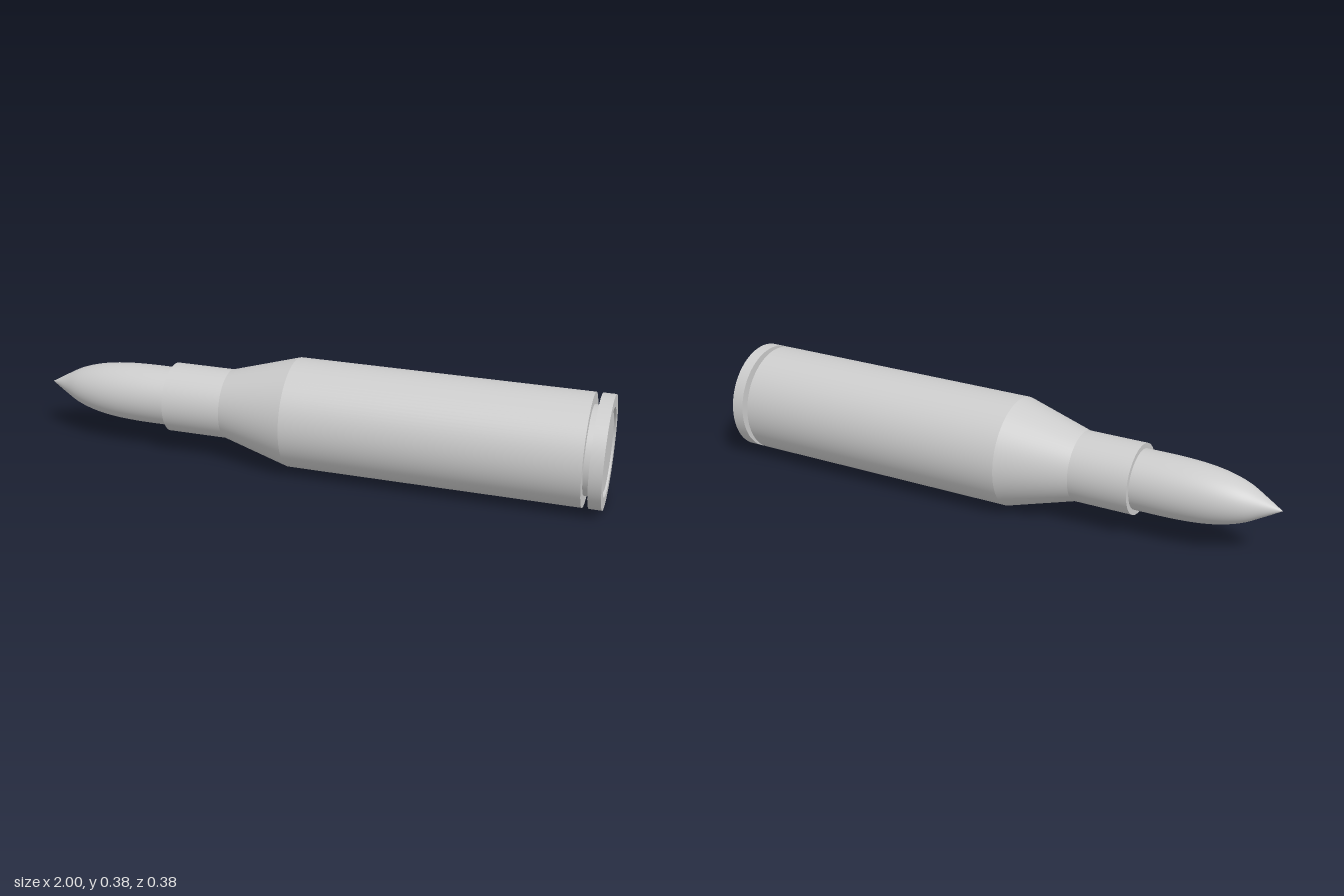
import * as THREE from 'three';
import { mergeGeometries } from 'three/addons/utils/BufferGeometryUtils.js';

const RADIUS = 0.19;
const SIDES = 96;

// Turn [x, radius] points about the long axis; smooth within one run
function turn(points) {
  const profile = points.map(([x, r]) => new THREE.Vector2(r, x));
  return new THREE.LatheGeometry(profile, SIDES).rotateZ(-Math.PI / 2);
}

// Turn a profile with a sharp edge at every point
function turnSharp(points) {
  return mergeGeometries(points.slice(1).map((p, i) => turn([points[i], p])));
}

export function createModel() {
  const group = new THREE.Group();
  const material = new THREE.MeshStandardMaterial({ color: 0xcccccc });
  const add = (name, geometry) => {
    const mesh = new THREE.Mesh(geometry, material);
    mesh.name = name;
    mesh.position.y = RADIUS;
    group.add(mesh);
  };

  // Pointed nose, seated a little inside the neck
  const nose = new THREE.SplineCurve([
    [-1, 0], [-0.94, 0.034], [-0.88, 0.065], [-0.81, 0.086],
    [-0.73, 0.098], [-0.63, 0.103], [-0.5, 0.103],
  ].map(([x, r]) => new THREE.Vector2(x, r)));
  add('nose', turn(nose.getPoints(36).map((p) => [p.x, Math.max(p.y, 0)])));

  // Neck with flat mouth, sloping shoulder and straight body
  add('neck', turnSharp([[-0.52, 0.1], [-0.52, 0.121], [-0.31, 0.121]]));
  add('shoulder', turnSharp([[-0.31, 0.121], [-0.07, RADIUS]]));
  add('body', turnSharp([[-0.07, RADIUS], [0.935, RADIUS], [0.935, 0.15]]));

  // Groove in front of the rim
  add('extractorGroove', turnSharp([[0.935, 0.15], [0.957, 0.15]]));

  // Rim, with a ring-shaped channel in its end face
  add('rim', turnSharp([
    [0.957, 0.15], [0.957, RADIUS], [1, RADIUS], [1, 0.148], [0.975, 0.148], [0.975, 0.13],
  ]));

  // Round cap in the middle of the end face
  add('endCap', turnSharp([[0.975, 0.13], [0.995, 0.13], [0.995, 0]]));

  return group;
}
